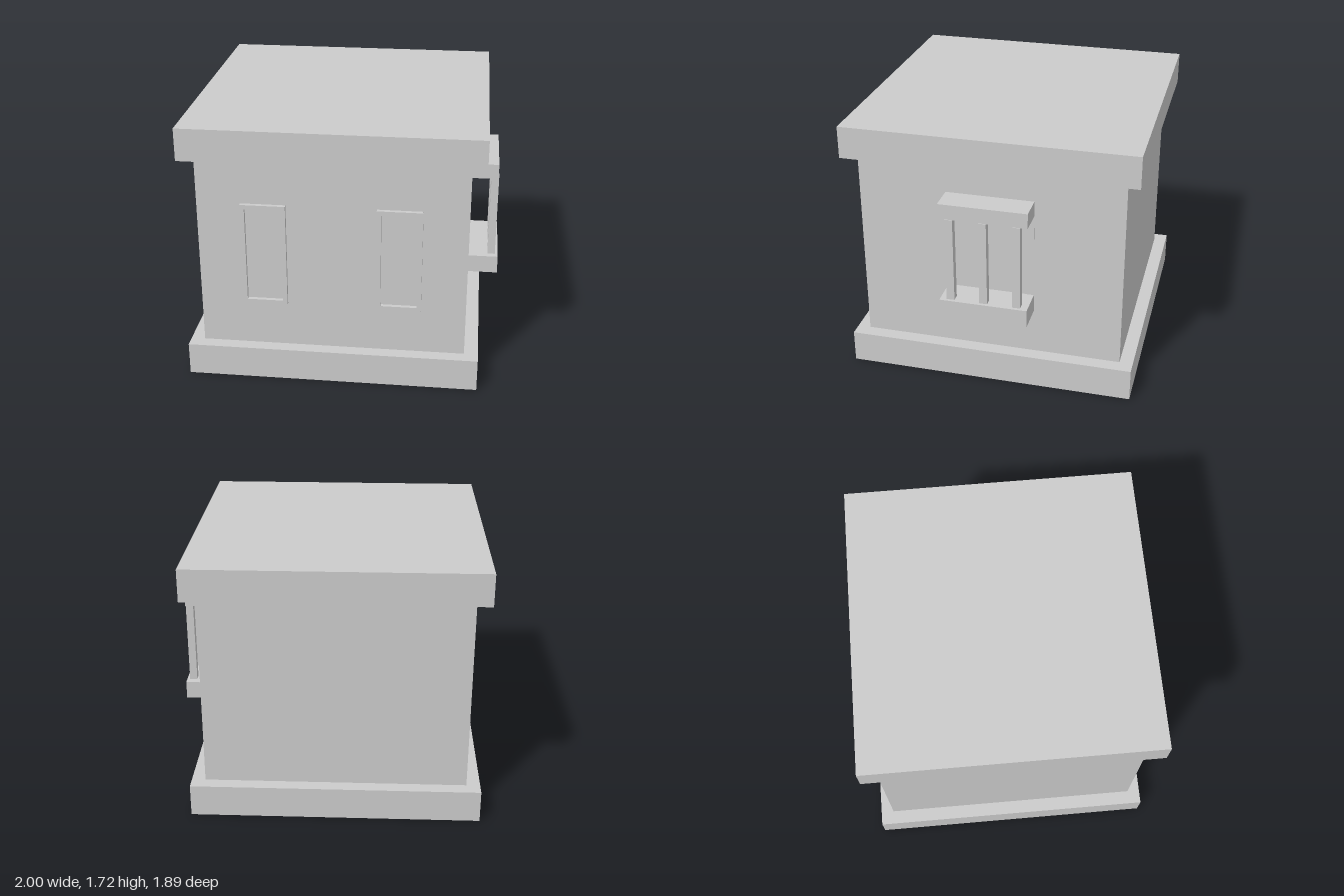
import * as THREE from 'three';

const material = new THREE.MeshStandardMaterial({ color: 0xcccccc, flatShading: true });

// Box given by its extents along each axis
function addBox(parent, name, [x0, x1], [y0, y1], [z0, z1]) {
  const mesh = new THREE.Mesh(new THREE.BoxGeometry(x1 - x0, y1 - y0, z1 - z0), material);
  mesh.position.set((x0 + x1) / 2, (y0 + y1) / 2, (z0 + z1) / 2);
  mesh.name = name;
  parent.add(mesh);
  return mesh;
}

// Rectangular frame with an open middle, extruded along z
function windowFrame(width, height, border, depth) {
  const w = width / 2, h = height / 2;
  const rectangle = (a, b) => [[-a, -b], [a, -b], [a, b], [-a, b]].map(([x, y]) => new THREE.Vector2(x, y));
  const shape = new THREE.Shape(rectangle(w, h));
  shape.holes.push(new THREE.Path(rectangle(w - border, h - border).reverse()));
  return new THREE.ExtrudeGeometry(shape, { depth, bevelEnabled: false });
}

export function createModel() {
  const model = new THREE.Group();
  model.name = 'building';

  // Plinth, walls and flat roof
  const slabX = [-1, 0.89], slabZ = [-0.945, 0.945];
  addBox(model, 'plinth', slabX, [0, 0.215], slabZ);
  addBox(model, 'walls', [-0.91, 0.8], [0.215, 1.51], [-0.858, 0.86]);
  addBox(model, 'roof', slabX, [1.51, 1.72], slabZ);

  // Two framed windows on the front wall
  for (const x of [-0.487, 0.371]) {
    const frame = new THREE.Mesh(windowFrame(0.287, 0.69, 0.028, 0.026), material);
    frame.position.set(x, 0.865, 0.86);
    frame.name = 'windowFrame';
    model.add(frame);
  }

  // Barred window on the side wall
  const barred = new THREE.Group();
  barred.name = 'barredWindow';
  const span = [-0.285, 0.287];
  addBox(barred, 'sill', [0.8, 1], [0.52, 0.64], span);
  addBox(barred, 'lintel', [0.8, 0.975], [1.21, 1.31], span);
  for (const z of [-0.212, 0.003, 0.218]) {
    addBox(barred, 'bar', [0.93, 0.98], [0.64, 1.21], [z - 0.026, z + 0.026]);
  }
  // Jambs almost flush with the wall
  addBox(barred, 'jamb', [0.78, 0.802], [0.64, 1.21], [span[0], span[0] + 0.045]);
  addBox(barred, 'jamb', [0.78, 0.802], [0.64, 1.21], [span[1] - 0.045, span[1]]);
  model.add(barred);

  return model;
}
